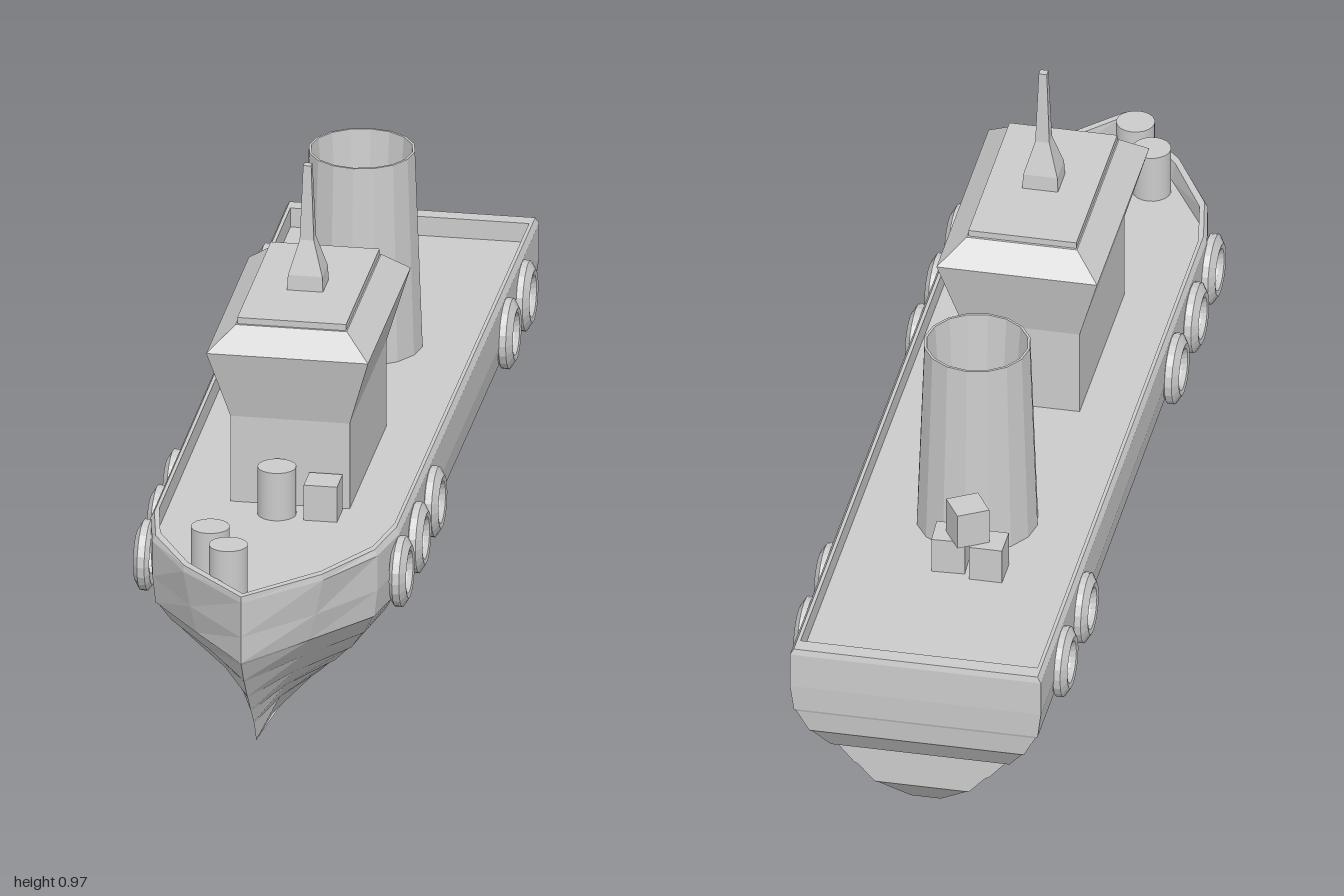
import * as THREE from 'three';

const mat = new THREE.MeshStandardMaterial({ color: 0xcccccc, flatShading: true });
const smooth = new THREE.MeshStandardMaterial({ color: 0xcccccc });
const DECK = 0.335;

// Closed skin over a stack of rings with equal point counts (bottom to top)
function loft(rings) {
  const n = rings[0].length, idx = [];
  for (let i = 0; i < rings.length - 1; i++) {
    for (let j = 0; j < n; j++) {
      const a = i * n + j, b = i * n + (j + 1) % n;
      idx.push(a, b, b + n, a, b + n, a + n);
    }
  }
  const top = (rings.length - 1) * n;
  for (let j = 1; j < n - 1; j++) {
    idx.push(0, j + 1, j);
    idx.push(top, top + j, top + j + 1);
  }
  const g = new THREE.BufferGeometry();
  g.setAttribute('position', new THREE.Float32BufferAttribute(rings.flat(2), 3));
  g.setIndex(idx);
  const flat = g.toNonIndexed();
  flat.computeVertexNormals();
  return flat;
}

// Hull outline at one height: pointed bow, straight sides, flat transom
function hullRing([y, w, tip, stern]) {
  const entry = 0.56 * (0.5 + 0.5 * y / 0.375);
  const side = [
    [w * entry, y, tip - 0.14],
    [w * 0.89, y, tip - 0.28],
    [w * 0.985, y, tip - 0.4],
    [w, y, stern],
  ];
  const other = side.map(([x, h, z]) => [-x, h, z]).reverse();
  return [[0, y, tip], ...side, ...other];
}

// Rectangular ring with half sizes hx, hz
const rectRing = ([y, hx, hz]) => [[hx, y, hz], [hx, y, -hz], [-hx, y, -hz], [-hx, y, hz]];

export function createModel() {
  const root = new THREE.Group();
  const add = (name, geo, x = 0, y = 0, z = 0, m = mat) => {
    const mesh = new THREE.Mesh(geo, m);
    mesh.name = name;
    mesh.position.set(x, y, z);
    root.add(mesh);
    return mesh;
  };

  // Hull with stepped planks, bulwark and sunken deck: height, half width, bow z, stern z
  const levels = [
    [0, 0.03, 0.82, -0.9],
    [0.045, 0.085, 0.845, -0.935],
    [0.05, 0.094, 0.85, -0.94],
    [0.085, 0.126, 0.88, -0.94],
    [0.09, 0.135, 0.885, -0.94],
    [0.13, 0.17, 0.92, -0.94],
    [0.135, 0.178, 0.925, -0.955],
    [0.18, 0.208, 0.96, -0.985],
    [0.185, 0.214, 0.965, -0.99],
    [0.23, 0.238, 0.995, -0.995],
    [0.235, 0.243, 1, -0.997],
    [0.29, 0.25, 1, -1],
    [0.363, 0.25, 1, -1],
    [0.375, 0.243, 0.998, -0.997],
    [0.375, 0.236, 0.98, -0.965],
    [DECK, 0.236, 0.98, -0.965],
  ];
  add('hull', loft(levels.map(hullRing)));

  // Wheelhouse with flared windows and sloped roof
  add('wheelhouse', loft([
    [DECK, 0.118, 0.213],
    [0.515, 0.118, 0.213],
    [0.658, 0.16, 0.248],
    [0.703, 0.11, 0.2],
  ].map(rectRing)), 0, 0, 0.213);
  add('roofPanel', new THREE.BoxGeometry(0.215, 0.016, 0.39), 0, 0.708, 0.213);

  // Mast
  add('mast', loft([
    [0.71, 0.036, 0.034],
    [0.747, 0.034, 0.032],
    [0.815, 0.014, 0.013],
    [0.97, 0.008, 0.008],
  ].map(rectRing)), 0, 0, 0.22);

  // Funnel, hollow with a floor inside
  const funnelProfile = [[0.12, DECK], [0.105, 0.745], [0.1, 0.745], [0.078, 0.45], [0, 0.45]]
    .map(([r, y]) => new THREE.Vector2(r, y));
  add('funnel', new THREE.LatheGeometry(funnelProfile, 16), 0, 0, -0.41,
    new THREE.MeshStandardMaterial({ color: 0xcccccc, flatShading: true, side: THREE.DoubleSide }));

  // Barrels on the foredeck
  for (const [x, z] of [[-0.095, 0.795], [-0.045, 0.88], [-0.018, 0.473]]) {
    add('barrel', new THREE.CylinderGeometry(0.038, 0.038, 0.1, 20), x, 0.385, z, smooth);
  }

  // Crates: x, base y, z, turn
  const crates = [
    [0.072, DECK, 0.465, 0],
    [-0.061, DECK, -0.592, 0],
    [0.018, DECK, -0.578, 0.05],
    [-0.018, 0.41, -0.588, 0.55],
  ];
  for (const [x, y, z, turn] of crates) {
    add('crate', new THREE.BoxGeometry(0.066, 0.075, 0.066), x, y + 0.0365, z).rotation.y = turn;
  }

  // Tyre fenders along both sides
  const tyreProfile = [[0.036, -0.012], [0.058, -0.016], [0.07, -0.008], [0.07, 0.006],
    [0.052, 0.017], [0.042, 0.015], [0.036, 0.006], [0.036, -0.012]]
    .map(([r, y]) => new THREE.Vector2(r, y));
  const tyre = new THREE.LatheGeometry(tyreProfile, 20);
  for (const s of [1, -1]) {
    for (const z of [0.615, 0.44, 0.255, -0.61, -0.805]) {
      const x = z > 0.6 ? 0.253 : 0.256;
      add('tyreFender', tyre, s * x, 0.29, z).rotation.z = -s * Math.PI / 2;
    }
  }
  return root;
}
